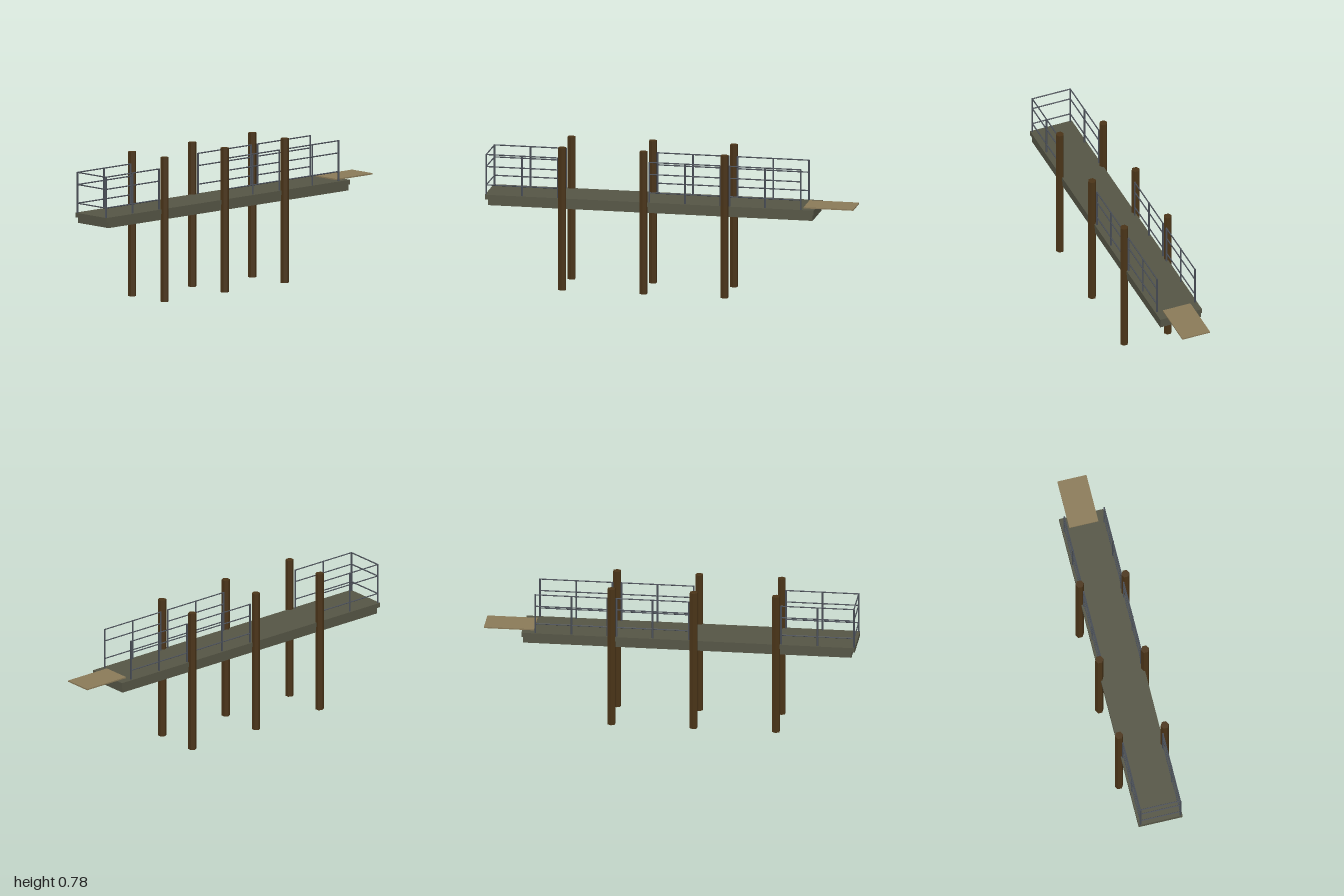
import * as THREE from 'three';

const mat = (color) => new THREE.MeshStandardMaterial({ color, flatShading: true });

export function createModel() {
  const root = new THREE.Group();
  root.name = 'pier';
  const concrete = mat(0x555545);
  const timber = mat(0x4a3418);
  const plank = mat(0x8a7a58);
  const steel = mat(0x4a4f57);

  const add = (parent, name, geometry, material, x, y, z) => {
    const mesh = new THREE.Mesh(geometry, material);
    mesh.name = name;
    mesh.position.set(x, y, z);
    parent.add(mesh);
    return mesh;
  };

  // A box given by its full width and its y and z limits, centred on x
  const slab = (name, width, y0, y1, z0, z1, material) =>
    add(root, name, new THREE.BoxGeometry(width, y1 - y0, z1 - z0), material,
      0, (y0 + y1) / 2, (z0 + z1) / 2);

  // Deck, the float beneath it, and the boarding plank at the back
  slab('deck', 0.242, 0.475, 0.5, -0.793, 1, concrete);
  slab('float', 0.236, 0.443, 0.475, -0.786, 0.982, concrete);
  slab('gangplank', 0.16, 0.5, 0.507, -1, -0.73, plank);

  // Six-sided piles in three pairs
  const pileGeo = new THREE.CylinderGeometry(0.0225, 0.0225, 0.782, 6);
  pileGeo.rotateY(Math.PI / 6);
  for (const z of [0.577, 0.134, -0.308]) {
    for (const side of [-1, 1]) add(root, 'pile', pileGeo, timber, side * 0.126, 0.391, z);
  }

  // Railings: three bars carried by slim posts
  const railX = 0.11;
  const frontZ = 0.994;
  const barHeights = [0.552, 0.653, 0.719];
  const postGeo = new THREE.CylinderGeometry(0.005, 0.005, 0.221, 6);

  const bars = (parent, length, x, z, alongX) => {
    const geo = new THREE.CylinderGeometry(0.0035, 0.0035, length, 6);
    if (alongX) geo.rotateZ(Math.PI / 2);
    else geo.rotateX(Math.PI / 2);
    for (const y of barHeights) add(parent, 'railBar', geo, steel, x, y, z);
  };

  // Side sections, each with an end post at both ends and one in the middle
  for (const side of [-1, 1]) {
    for (const [z0, z1] of [[0.603, frontZ], [-0.283, 0.106], [-0.72, -0.331]]) {
      const section = new THREE.Group();
      section.name = 'sideRailing';
      const mid = (z0 + z1) / 2;
      for (const z of [z0, mid, z1]) add(section, 'railPost', postGeo, steel, side * railX, 0.6105, z);
      bars(section, z1 - z0, side * railX, mid, false);
      root.add(section);
    }
  }

  // Closing railing across the front end
  const frontRailing = new THREE.Group();
  frontRailing.name = 'frontRailing';
  bars(frontRailing, railX * 2, 0, frontZ, true);
  root.add(frontRailing);

  return root;
}
